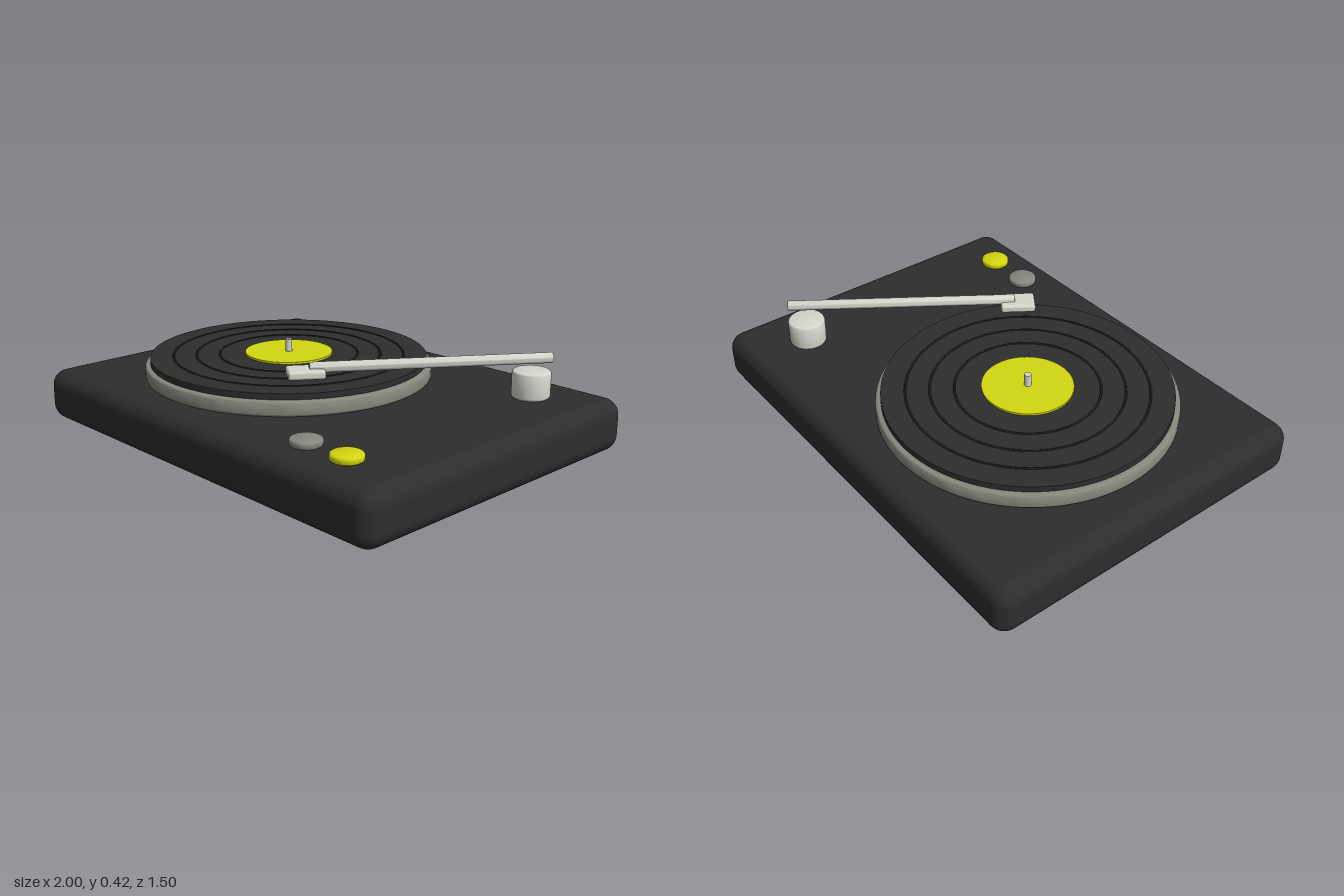
import * as THREE from 'three';
import { toCreasedNormals } from 'three/addons/utils/BufferGeometryUtils.js';
import { RoundedBoxGeometry } from 'three/addons/geometries/RoundedBoxGeometry.js';

const makeMaterial = (name, color) => {
  const m = new THREE.MeshStandardMaterial({ color });
  m.name = name;
  return m;
};

// Solid disc standing on y = 0, with its top and bottom rims rounded
function roundedDisc(radius, height, bevel, sides = 64) {
  const points = [new THREE.Vector2(0, 0)];
  const steps = 4;
  for (const [cy, start] of [[bevel, -Math.PI / 2], [height - bevel, 0]]) {
    for (let i = 0; i <= steps; i++) {
      const a = start + (i / steps) * Math.PI / 2;
      points.push(new THREE.Vector2(radius - bevel + Math.cos(a) * bevel, cy + Math.sin(a) * bevel));
    }
  }
  points.push(new THREE.Vector2(0, height));
  return toCreasedNormals(new THREE.LatheGeometry(points, sides), 0.6);
}

export function createModel() {
  const model = new THREE.Group();
  model.name = 'recordPlayer';

  const charcoal = makeMaterial('charcoal', 0x2d2d2d);
  const grooveBlack = makeMaterial('grooveBlack', 0x1a1a1a);
  const warmGrey = makeMaterial('warmGrey', 0x88877e);
  const paleMetal = makeMaterial('paleMetal', 0xd6d5cd);
  const yellow = makeMaterial('yellow', 0xd4d710);

  const add = (name, geometry, material, x, y, z) => {
    const mesh = new THREE.Mesh(geometry, material);
    mesh.name = name;
    mesh.position.set(x, y, z);
    model.add(mesh);
    return mesh;
  };

  // Plinth
  const deck = 0.225;
  add('plinth', new RoundedBoxGeometry(2, deck, 1.5, 6, 0.07), charcoal, 0, deck / 2, 0);

  // Platter, record, grooves, label and spindle share one axis
  const cx = -0.225;
  add('platter', roundedDisc(0.623, 0.062, 0.012, 96), warmGrey, cx, deck, 0);
  add('record', new THREE.CylinderGeometry(0.6, 0.6, 0.025, 96), charcoal, cx, 0.302, 0);
  for (const r of [0.3, 0.4, 0.5]) {
    const groove = add('groove', new THREE.TorusGeometry(r, 0.005, 8, 96), grooveBlack, cx, 0.314, 0);
    groove.rotation.x = Math.PI / 2;
  }
  add('label', new THREE.CylinderGeometry(0.19, 0.19, 0.009, 64), yellow, cx, 0.3185, 0);
  add('spindle', new THREE.CylinderGeometry(0.015, 0.015, 0.085, 20), paleMetal, cx, 0.333, 0);

  // Tonearm post
  add('tonearmPost', roundedDisc(0.08, 0.115, 0.012, 40), paleMetal, 0.72, deck, -0.48);

  // Tonearm from the pivot to the headshell
  const pivot = new THREE.Vector3(0.782, 0.395, -0.53);
  const tip = new THREE.Vector3(0.213, 0.395, 0.283);
  const along = tip.clone().sub(pivot);
  const arm = add('tonearm', roundedDisc(0.022, along.length(), 0.005, 24), paleMetal, pivot.x, pivot.y, pivot.z);
  arm.quaternion.setFromUnitVectors(new THREE.Vector3(0, 1, 0), along.clone().normalize());

  // Headshell, turned to follow the arm
  const head = add('headshell', new RoundedBoxGeometry(0.11, 0.036, 0.15, 3, 0.012), paleMetal, 0.205, 0.376, 0.294);
  head.rotation.y = Math.atan2(along.x, along.z);

  // Control buttons
  add('greyButton', roundedDisc(0.064, 0.03, 0.01, 40), warmGrey, 0.51, deck, 0.572);
  add('yellowButton', roundedDisc(0.064, 0.03, 0.01, 40), yellow, 0.72, deck, 0.572);

  return model;
}
